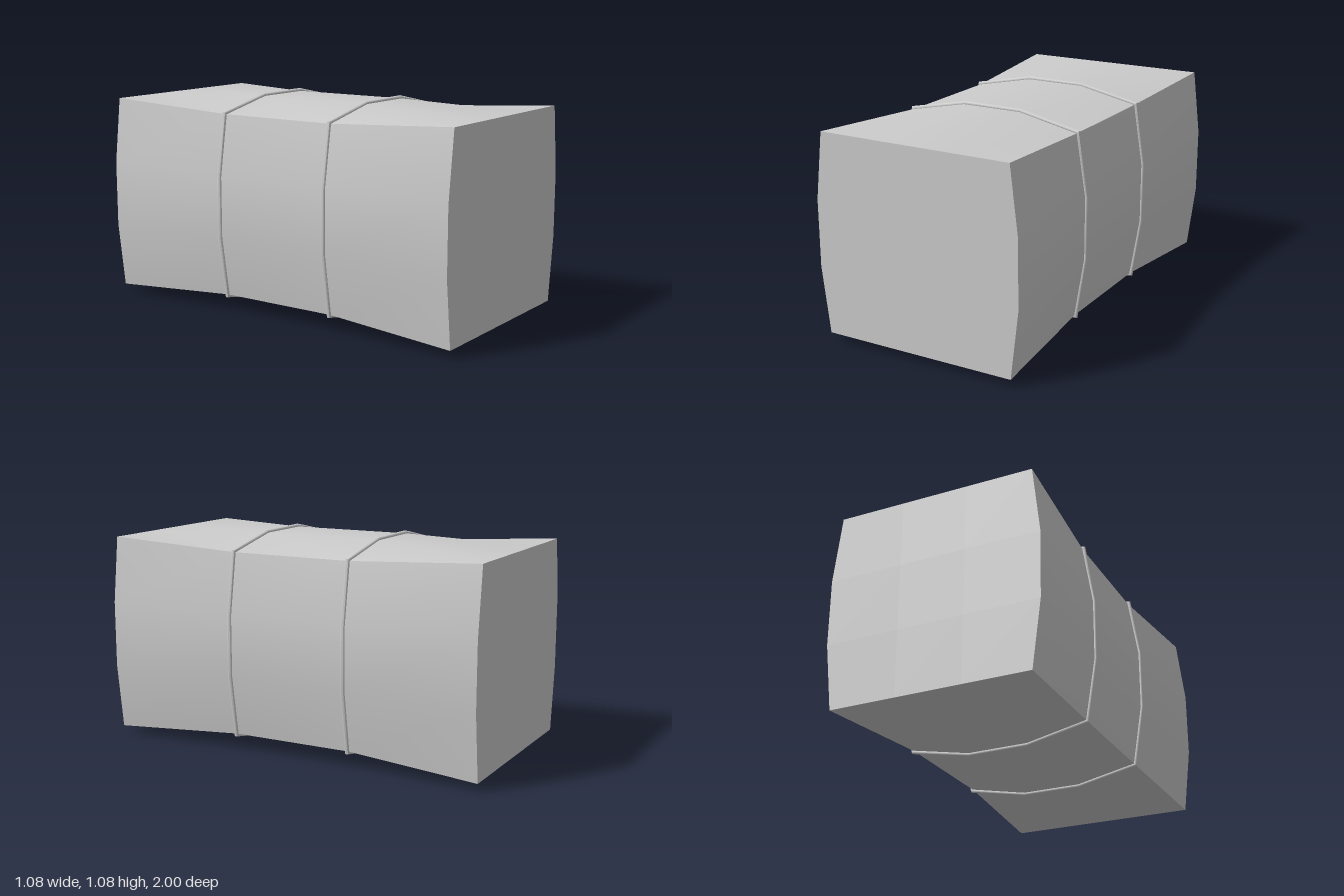
import * as THREE from 'three';
import { toCreasedNormals } from 'three/addons/utils/BufferGeometryUtils.js';

const CENTER_Y = 0.539;
const STRAP_Z = 0.315;
const material = new THREE.MeshStandardMaterial({ color: 0xcccccc });

// Bale cross-section: u, v run from -1 to 1 across the width and height.
// The ends bulge only sideways; the strapped sections are pinched at the corners.
function section(u, v, strapped) {
  const half = strapped ? 0.46 : 0.5;
  const p = new THREE.Vector2(u * half, v * half);
  const onSide = Math.abs(u) > 0.9, onTop = Math.abs(v) > 0.9;
  if (onSide && !onTop) p.x = Math.sign(u) * (strapped ? 0.51 : 0.54);
  if (strapped && onTop && !onSide) p.y = Math.sign(v) * 0.524;
  return p;
}

// Box with three divisions each way, bent to the cross-sections
function baleGeometry() {
  const geo = new THREE.BoxGeometry(2, 2, 2, 3, 3, 3);
  const pos = geo.attributes.position;
  for (let i = 0; i < pos.count; i++) {
    const z = pos.getZ(i), strapped = Math.abs(z) < 0.5;
    const p = section(pos.getX(i), pos.getY(i), strapped);
    pos.setXYZ(i, p.x, p.y, strapped ? Math.sign(z) * STRAP_Z : z);
  }
  return toCreasedNormals(geo, 0.6);
}

// Thin round wire swept with mitred corners around the strapped cross-section
function strapGeometry(radius = 0.011, offset = 0.004, sides = 8) {
  const path = [];
  const steps = [-1, -1 / 3, 1 / 3];
  for (const t of steps) path.push(section(t, -1, true));
  for (const t of steps) path.push(section(1, t, true));
  for (const t of steps) path.push(section(-t, 1, true));
  for (const t of steps) path.push(section(-1, -t, true));

  const n = path.length, vertices = [], indices = [];
  const edgeNormal = (a, b) => new THREE.Vector2(b.y - a.y, a.x - b.x).normalize();
  for (let i = 0; i < n; i++) {
    const n1 = edgeNormal(path[(i + n - 1) % n], path[i]);
    const n2 = edgeNormal(path[i], path[(i + 1) % n]);
    const mitre = n1.clone().add(n2).divideScalar(1 + n1.dot(n2));
    for (let j = 0; j < sides; j++) {
      const a = (j / sides) * Math.PI * 2;
      const out = offset + radius * Math.cos(a);
      vertices.push(path[i].x + mitre.x * out, path[i].y + mitre.y * out, radius * Math.sin(a));
      const k = (j + 1) % sides, next = (i + 1) % n;
      const p = i * sides + j, q = next * sides + j, r = next * sides + k, s = i * sides + k;
      indices.push(p, q, r, p, r, s);
    }
  }
  const geo = new THREE.BufferGeometry();
  geo.setAttribute('position', new THREE.Float32BufferAttribute(vertices, 3));
  geo.setIndex(indices);
  return toCreasedNormals(geo, 0.9);
}

export function createModel() {
  const model = new THREE.Group();
  model.name = 'strappedBale';

  function add(name, geometry, z) {
    const mesh = new THREE.Mesh(geometry, material);
    mesh.name = name;
    mesh.position.set(0, CENTER_Y, z);
    model.add(mesh);
  }

  add('bale', baleGeometry(), 0);
  const strap = strapGeometry();
  add('frontStrap', strap, STRAP_Z);
  add('backStrap', strap, -STRAP_Z);
  return model;
}
